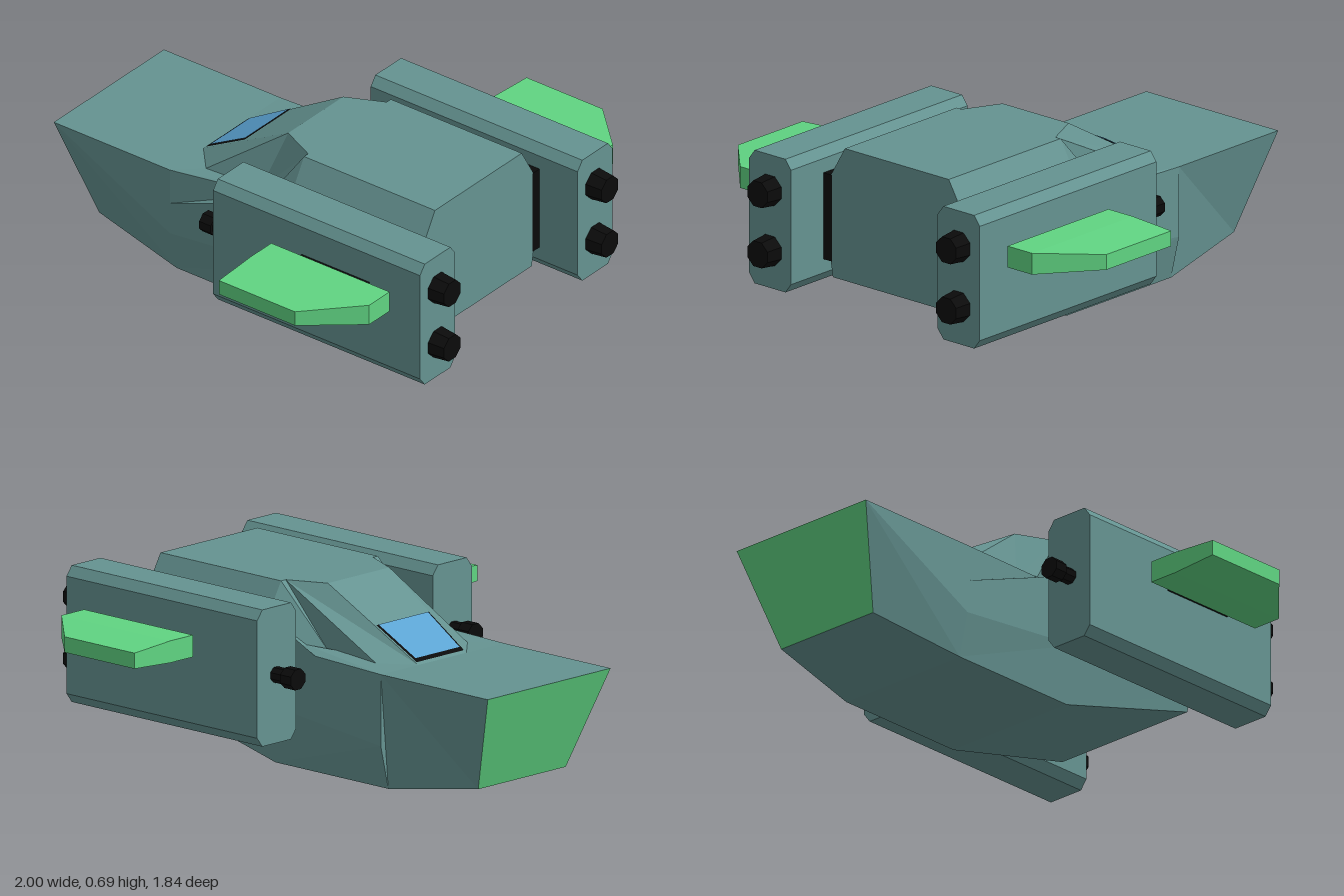
import * as THREE from 'three';

const mat = (name, color, side = THREE.FrontSide) => {
  const m = new THREE.MeshStandardMaterial({ color, side });
  m.name = name;
  return m;
};

// Mesh from flat polygons, each a list of [x, y, z] corners
function polyMesh(name, polygons, material) {
  const pos = [];
  for (const p of polygons) {
    for (let i = 1; i < p.length - 1; i++) pos.push(...p[0], ...p[i], ...p[i + 1]);
  }
  const g = new THREE.BufferGeometry();
  g.setAttribute('position', new THREE.Float32BufferAttribute(pos, 3));
  g.computeVertexNormals();
  const mesh = new THREE.Mesh(g, material);
  mesh.name = name;
  return mesh;
}

const flip = ([x, y, z]) => [x, y, -z];
const mirrored = (polys) => polys.concat(polys.map((p) => p.map(flip).reverse()));
// Panel across the centre line between two points of the +z side
const span = (a, b) => [a, b, flip(b), flip(a)];

export function createModel() {
  const teal = mat('teal hull', 0x659391);
  const green = mat('green trim', 0x60d482);
  const blue = mat('blue glass', 0x5ba3d2, THREE.DoubleSide);
  const black = mat('black fittings', 0x0b0b0b, THREE.DoubleSide);
  const model = new THREE.Group();
  model.name = 'ship';

  const box = (parent, name, material, x, y, z) => {
    const g = new THREE.BoxGeometry(x[1] - x[0], y[1] - y[0], z[1] - z[0]);
    const m = new THREE.Mesh(g, material);
    m.position.set((x[0] + x[1]) / 2, (y[0] + y[1]) / 2, (z[0] + z[1]) / 2);
    m.name = name;
    parent.add(m);
  };
  // Octagonal tube along x
  const tube = (parent, name, x0, x1, y, z, r0, r1) => {
    const g = new THREE.CylinderGeometry(r1, r0, x1 - x0, 8).toNonIndexed();
    g.rotateY(Math.PI / 8).rotateZ(-Math.PI / 2);
    g.computeVertexNormals();
    const m = new THREE.Mesh(g, black);
    m.position.set((x0 + x1) / 2, y, z);
    m.name = name;
    parent.add(m);
  };

  // Hull corners on the +z side: nose, shoulder station, mid station, stern
  const noseTop = [-1, 0.445, 0.33], noseLow = [-0.86, 0.06, 0.235];
  const c1 = [-0.45, 0, 0.29], c2 = [-0.45, 0.17, 0.33], c3 = [-0.45, 0.3, 0.33], c4 = [-0.45, 0.445, 0.33];
  const d1 = [0.13, 0, 0.29], d2 = [0.13, 0.23, 0.33], d3 = [0.13, 0.57, 0.33], d4 = [0.13, 0.69, 0.26];
  const e1 = [0.75, 0.17, 0.32], e2 = [0.75, 0.23, 0.33], e3 = [0.75, 0.57, 0.33], e4 = [0.75, 0.69, 0.26];
  const f3 = [-0.02, 0.46, 0.33], f4 = [-0.02, 0.475, 0.28];
  // Raised cockpit corners
  const k1 = [-0.45, 0.445, 0.13], k2 = [-0.35, 0.447, 0.24], k3 = [-0.02, 0.69, 0.165];
  const k4 = [0.13, 0.69, 0.235], k5 = [-0.09, 0.46, 0.24];

  const sides = mirrored([
    [noseTop, noseLow, c1, c2, c3, c4],
    [c1, d1, d2, c2], [c2, d2, d3, f3, c3],
    [d1, e1, e2, d2], [d2, e2, e3, d3],
    [c3, f3, f4, c4], [f3, d3, d4, f4], [d3, e3, e4, d4],
    [c4, f4, k5, k2, k1], [f4, d4, k4, k5],
  ]);
  const across = [
    span(noseTop, c4), span(d4, e4), span(e4, e3), span(e3, e2), span(e2, e1),
    span(e1, d1), span(d1, c1), span(c1, noseLow),
  ];
  model.add(polyMesh('hull', [...sides, ...across], teal));
  model.add(polyMesh('nosePlate', [span(noseLow, noseTop)], green));
  model.add(polyMesh('cockpit', [...mirrored([[k3, k1, k2, k5, k4]]), span(k1, k3), span(k3, k4)], teal));

  // Windscreen and its dark frame lie on the cockpit slope
  const onSlope = (x, z, lift) => [x, 0.445 + (x + 0.45) * 0.57 + lift, z];
  model.add(polyMesh('windscreenFrame', [span(onSlope(-0.44, 0.127, 0.003), onSlope(-0.246, 0.141, 0.003))], black));
  model.add(polyMesh('windscreen', [span(onSlope(-0.427, 0.119, 0.007), onSlope(-0.25, 0.133, 0.007))], blue));

  // Engine pod section (z, y) with chamfered corners
  const podShape = () => {
    const s = new THREE.Shape();
    const w = 0.105, h = 0.262, a = 0.028, b = 0.037;
    s.setFromPoints([
      [-w + a, -h], [w - a, -h], [w, -h + b], [w, h - b],
      [w - a, h], [-w + a, h], [-w, h - b], [-w, -h + b],
    ].map(([x, y]) => new THREE.Vector2(x, y)));
    return s;
  };

  // Wing: constant thickness at the root, thinner toward the tip
  const outline = [
    [0.25, 0.608, 0.042], [0.25, 0.73, 0.042], [0.25, 0.922, 0.03],
    [0.61, 0.922, 0.03], [0.81, 0.73, 0.042], [0.81, 0.608, 0.042],
  ];
  const up = outline.map(([x, z, h]) => [x, 0.483 + h, z]);
  const low = outline.map(([x, z, h]) => [x, 0.483 - h, z]);
  const wingFaces = [
    [up[0], up[1], up[4], up[5]], [up[1], up[2], up[3], up[4]],
    [low[5], low[4], low[1], low[0]], [low[4], low[3], low[2], low[1]],
  ];
  outline.forEach((_, i) => {
    const j = (i + 1) % outline.length;
    wingFaces.push([up[i], low[i], low[j], up[j]]);
  });

  for (const s of [1, -1]) {
    const side = new THREE.Group();
    side.name = s > 0 ? 'frontSidePod' : 'rearSidePod';
    const zRange = (a, b) => (s > 0 ? [a, b] : [-b, -a]);

    const podGeo = new THREE.ExtrudeGeometry(podShape(), { depth: 0.98, bevelEnabled: false });
    podGeo.rotateY(Math.PI / 2);
    const pod = new THREE.Mesh(podGeo, teal);
    pod.position.set(-0.05, 0.401, s * 0.472);
    pod.name = 'enginePod';
    side.add(pod);

    box(side, 'podMount', black, [0.13, 0.75], [0.23, 0.57], zRange(0.325, 0.37));
    box(side, 'wingMount', black, [0.37, 0.69], [0.457, 0.507], zRange(0.57, 0.612));
    const faces = s > 0 ? wingFaces : wingFaces.map((p) => p.map(flip).reverse());
    side.add(polyMesh('wing', faces, green));

    // Exhausts at the stern, gun at the bow
    for (const y of [0.525, 0.288]) tube(side, 'exhaust', 0.925, 1, y, s * 0.472, 0.062, 0.054);
    tube(side, 'gunBarrel', -0.115, -0.045, 0.403, s * 0.477, 0.031, 0.031);
    tube(side, 'gunMuzzle', -0.165, -0.11, 0.403, s * 0.477, 0.042, 0.042);
    model.add(side);
  }
  return model;
}
